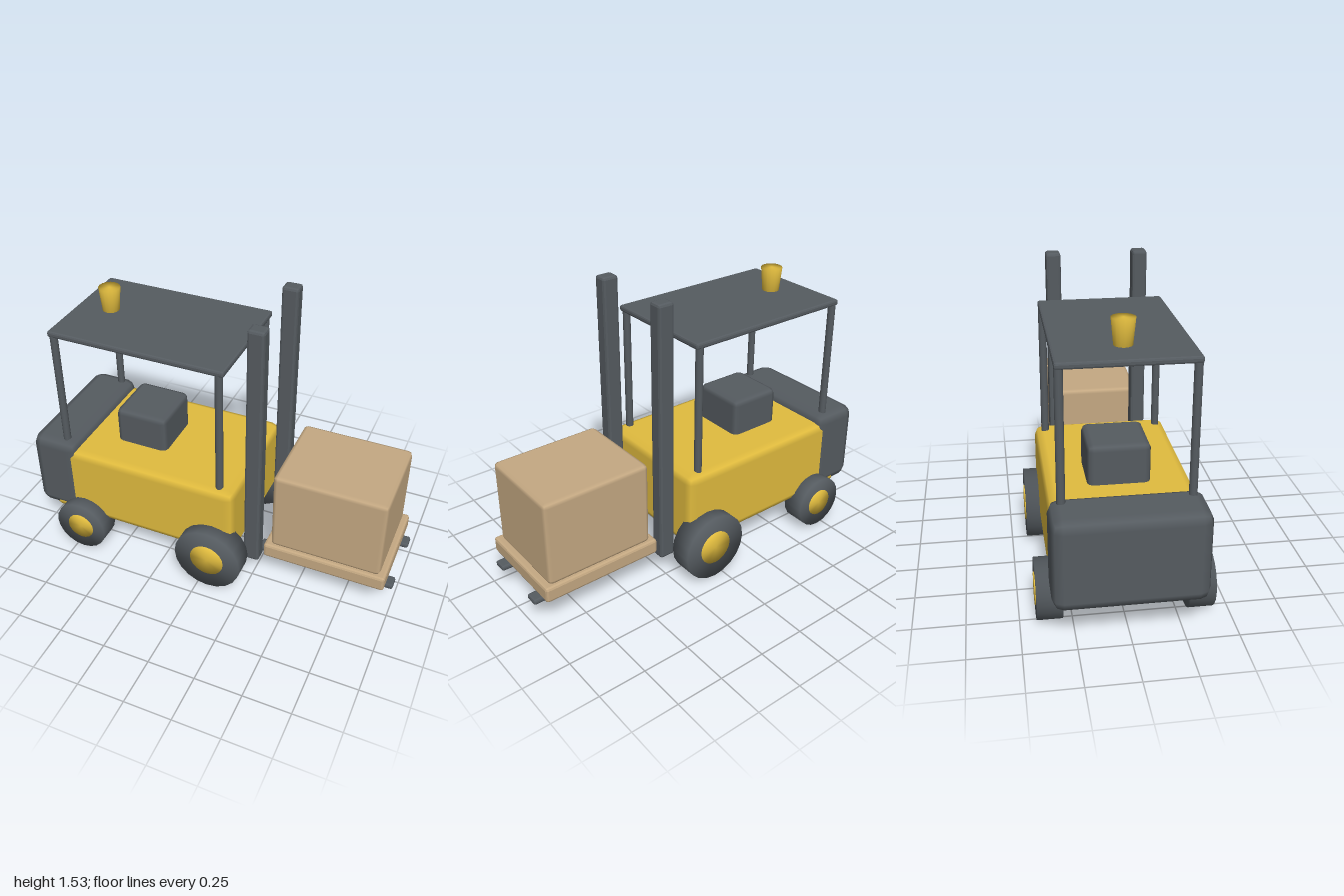
import * as THREE from 'three';
import { mergeVertices } from 'three/addons/utils/BufferGeometryUtils.js';
import { RoundedBoxGeometry } from 'three/addons/geometries/RoundedBoxGeometry.js';

function material(name, color) {
  const m = new THREE.MeshStandardMaterial({ color });
  m.name = name;
  return m;
}

// Box given by its extents, with one-step softened edges; flat gives hard facets
function softBox([x0, x1], [y0, y1], [z0, z1], inset, flat = false) {
  const r = inset / 0.6, grow = 0.19 * r;
  const g = new RoundedBoxGeometry(x1 - x0 + grow, y1 - y0 + grow, z1 - z0 + grow, 1, r);
  if (flat) g.computeVertexNormals();
  return g.translate((x0 + x1) / 2, (y0 + y1) / 2, (z0 + z1) / 2);
}

// Cylinder whose caps and wall share normals
function softCylinder(top, bottom, height, sides) {
  const g = new THREE.CylinderGeometry(top, bottom, height, sides);
  g.deleteAttribute('normal');
  g.deleteAttribute('uv');
  const merged = mergeVertices(g);
  merged.computeVertexNormals();
  return merged;
}

export function createModel() {
  const model = new THREE.Group();
  model.name = 'forklift';
  const yellow = material('yellow paint', 0xe0bb3e);
  const dark = material('dark grey', 0x555b60);
  const wood = material('tan wood', 0xc4a882);

  const add = (name, geometry, mat, parent = model) => {
    const mesh = new THREE.Mesh(geometry, mat);
    mesh.name = name;
    parent.add(mesh);
    return mesh;
  };

  // Chassis, counterweight and seat
  add('body', softBox([-0.92, 0.165], [0.18, 0.6], [-0.347, 0.347], 0.027), yellow);
  add('counterweight', softBox([-1, -0.745], [0.2, 0.645], [-0.355, 0.355], 0.032), dark);
  add('seat', softBox([-0.585, -0.3], [0.56, 0.8], [-0.148, 0.148], 0.018), dark);

  // Overhead guard and beacon
  add('roof', softBox([-0.835, 0.11], [1.28, 1.31], [-0.317, 0.317], 0.006, true), dark);
  for (const x of [-0.81, 0.08]) {
    for (const z of [-0.298, 0.298]) {
      add('roofPost', new THREE.CylinderGeometry(0.02, 0.02, 0.72, 12), dark).position.set(x, 0.93, z);
    }
  }
  add('beacon', softCylinder(0.056, 0.044, 0.125, 16), yellow).position.set(-0.65, 1.378, 0);

  // Wheels, each with a hub showing on both faces
  for (const [name, x, r, hubR] of [['frontWheel', 0.055, 0.185, 0.094], ['rearWheel', -0.712, 0.147, 0.077]]) {
    for (const side of [-1, 1]) {
      const wheel = new THREE.Group();
      wheel.name = name;
      wheel.position.set(x, r, side * 0.36);
      wheel.rotation.x = Math.PI / 2;
      add('tyre', softCylinder(r, r, 0.122, 20), dark, wheel);
      add('hub', softCylinder(hubR, hubR, 0.13, 20), yellow, wheel);
      model.add(wheel);
    }
  }

  // Mast rails and forks
  for (const side of [-1, 1]) {
    const span = (a, b) => (side > 0 ? [a, b] : [-b, -a]);
    add('mastRail', softBox([0.2, 0.285], [0.12, 1.525], span(0.187, 0.26), 0.008, true), dark);
    add('fork', softBox([0.265, 1], [0.14, 0.167], span(0.127, 0.197), 0.006, true), dark);
  }

  // Pallet and its load
  add('pallet', softBox([0.315, 0.965], [0.18, 0.26], [-0.264, 0.264], 0.008, true), wood);
  add('crate', softBox([0.347, 0.932], [0.255, 0.71], [-0.243, 0.243], 0.014), wood);

  return model;
}
